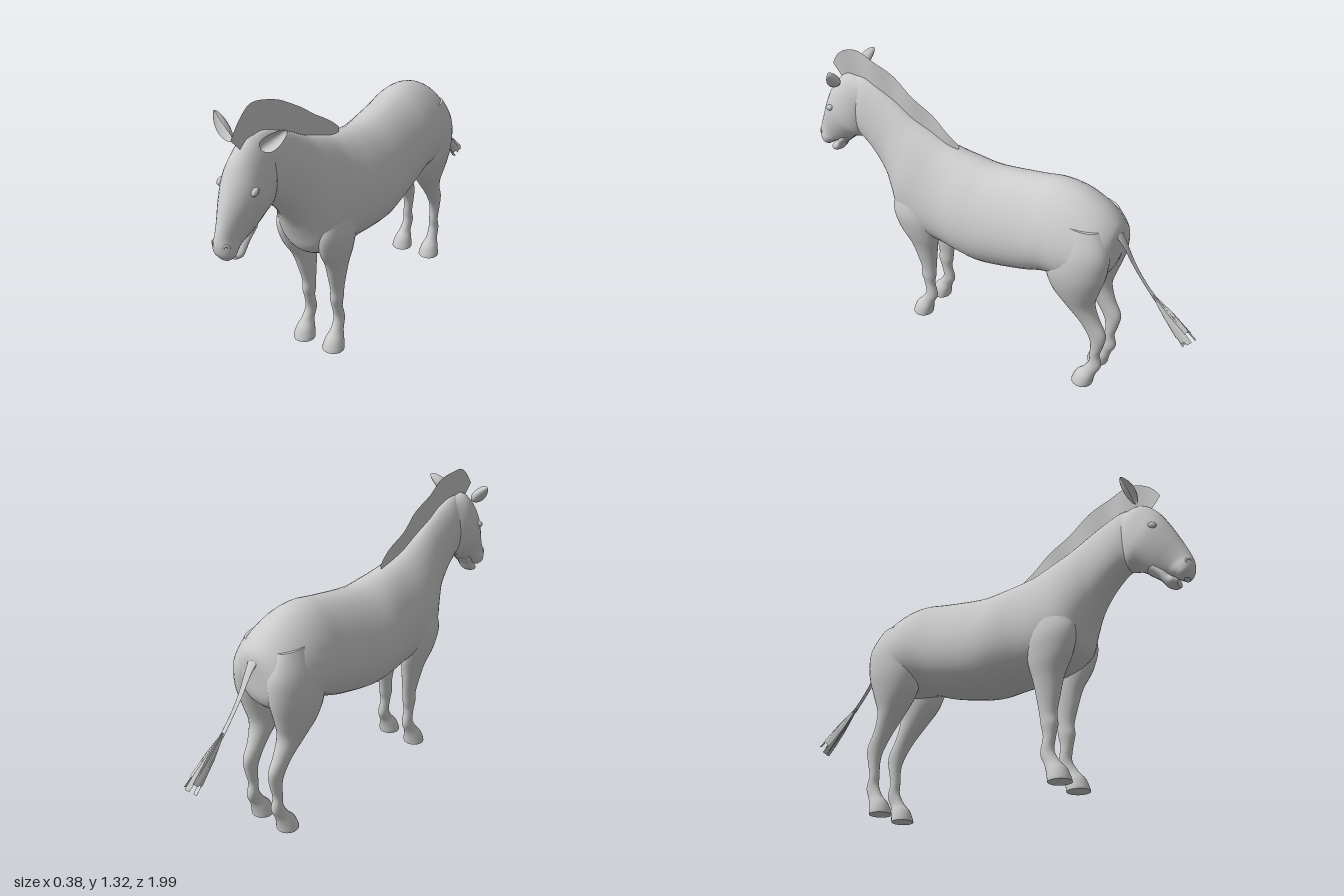
import * as THREE from 'three';

const skin = new THREE.MeshStandardMaterial({ color: 0xcccccc, roughness: 0.8 });
const sheet = new THREE.MeshStandardMaterial({ color: 0xcccccc, roughness: 0.8, side: THREE.DoubleSide });

// Smooth interpolation of numeric rows
function smoothRows(rows, steps) {
  const out = [];
  const at = (i) => rows[Math.max(0, Math.min(rows.length - 1, i))];
  for (let i = 0; i < rows.length - 1; i++) {
    for (let s = 0; s < steps; s++) {
      const t = s / steps;
      out.push(rows[i].map((p1, c) => {
        const p0 = at(i - 1)[c], p2 = at(i + 1)[c], p3 = at(i + 2)[c];
        return 0.5 * (2 * p1 + (p2 - p0) * t + (2 * p0 - 5 * p1 + 4 * p2 - p3) * t * t
          + (3 * p1 - p0 - 3 * p2 + p3) * t * t * t);
      }));
    }
  }
  out.push(rows[rows.length - 1]);
  return out;
}

// Loft through rows [z1, y1, z2, y2, halfWidth, xCentre]; egg narrows the first edge
function loft(rows, egg = 0, side = 1, n = 28) {
  const rings = smoothRows(rows, 4);
  const pos = [], idx = [];
  const addRing = ([z1, y1, z2, y2, w, xc = 0]) => {
    for (let j = 0; j < n; j++) {
      const t = (j / n) * Math.PI * 2, c = Math.cos(t);
      pos.push(side * xc + w * Math.sin(t) * (1 - egg * c),
        (y1 + y2) / 2 + ((y1 - y2) / 2) * c, (z1 + z2) / 2 + ((z1 - z2) / 2) * c);
    }
  };
  rings.forEach(addRing);
  for (let i = 0; i < rings.length - 1; i++) {
    for (let j = 0; j < n; j++) {
      const a = i * n + j, b = i * n + (j + 1) % n;
      idx.push(a, a + n, b, b, a + n, b + n);
    }
  }
  // End caps with their own vertices
  [rings[0], rings[rings.length - 1]].forEach((r, end) => {
    const base = pos.length / 3;
    addRing(r);
    pos.push(side * (r[5] || 0), (r[1] + r[3]) / 2, (r[0] + r[2]) / 2);
    for (let j = 0; j < n; j++) {
      const a = base + j, b = base + (j + 1) % n;
      if (end) idx.push(base + n, b, a); else idx.push(base + n, a, b);
    }
  });
  return buffer(pos, idx);
}

function buffer(pos, idx) {
  const g = new THREE.BufferGeometry();
  g.setAttribute('position', new THREE.Float32BufferAttribute(pos, 3));
  g.setIndex(idx);
  g.computeVertexNormals();
  return g;
}

// Thin sheet between two equally long lists of points
function ribbon(a, b) {
  const pos = [], idx = [];
  a.forEach((p, i) => {
    pos.push(...p, ...b[i]);
    if (i) idx.push(2 * i - 2, 2 * i - 1, 2 * i, 2 * i, 2 * i - 1, 2 * i + 1);
  });
  return buffer(pos, idx);
}

// Cupped, pointed ear standing along +y with its hollow towards +z
function earGeometry() {
  const g = new THREE.SphereGeometry(1, 24, 20);
  const p = g.attributes.position;
  for (let i = 0; i < p.count; i++) {
    const x = p.getX(i), y = p.getY(i), z = p.getZ(i);
    const hollow = z > 0 ? -0.7 * z : z;
    const taper = 1 - 0.25 * y;
    p.setXYZ(i, x * 0.029 * taper, y * 0.068, (hollow + 0.7 * x * x) * 0.022);
  }
  g.computeVertexNormals();
  return g;
}

export function createModel() {
  const model = new THREE.Group();
  const add = (name, geometry, material = skin) => {
    const m = new THREE.Mesh(geometry, material);
    m.name = name;
    model.add(m);
    return m;
  };

  // Trunk and neck, from rump to poll
  add('bodyAndNeck', loft([
    [-0.606, 0.85, -0.600, 0.75, 0.03],
    [-0.592, 0.89, -0.590, 0.66, 0.115],
    [-0.53, 0.95, -0.54, 0.60, 0.165],
    [-0.43, 1.00, -0.42, 0.57, 0.185],
    [-0.32, 1.015, -0.32, 0.565, 0.184],
    [-0.20, 0.995, -0.20, 0.52, 0.182],
    [0.00, 0.965, 0.00, 0.475, 0.188],
    [0.12, 0.972, 0.12, 0.478, 0.185],
    [0.20, 0.985, 0.24, 0.485, 0.168],
    [0.27, 1.00, 0.38, 0.495, 0.158],
    [0.36, 1.035, 0.485, 0.55, 0.147],
    [0.44, 1.07, 0.525, 0.64, 0.12],
    [0.53, 1.12, 0.56, 0.72, 0.093],
    [0.62, 1.165, 0.62, 0.81, 0.08],
    [0.70, 1.195, 0.70, 0.885, 0.072],
    [0.76, 1.195, 0.77, 0.90, 0.055],
  ], 0.2, 1, 40));

  // Head with upper lip, then lower jaw
  add('head', loft([
    [0.72, 1.19, 0.68, 1.03, 0.05],
    [0.80, 1.197, 0.685, 0.955, 0.076],
    [0.86, 1.15, 0.71, 0.90, 0.088],
    [0.90, 1.09, 0.76, 0.885, 0.09],
    [0.94, 1.01, 0.81, 0.85, 0.073],
    [0.97, 0.94, 0.85, 0.825, 0.054],
    [0.99, 0.89, 0.88, 0.815, 0.045],
    [1.00, 0.85, 0.91, 0.805, 0.048],
    [0.995, 0.81, 0.932, 0.79, 0.044],
    [0.975, 0.78, 0.95, 0.777, 0.022],
  ], 0.05, 1, 32));
  add('lowerJaw', loft([
    [0.86, 0.87, 0.80, 0.855, 0.05],
    [0.885, 0.835, 0.85, 0.81, 0.044],
    [0.90, 0.815, 0.873, 0.775, 0.04],
    [0.918, 0.80, 0.90, 0.757, 0.042],
    [0.932, 0.785, 0.925, 0.757, 0.028],
  ]));

  // Lower leg and hoof share one profile, placed at z offset
  const hoof = (z) => [
    [0.045, 0.14, -0.016, 0.13, 0.024, 0.077],
    [0.07, 0.09, 0.003, 0.08, 0.027, 0.08],
    [0.10, 0.055, 0.012, 0.045, 0.040, 0.08],
    [0.115, 0.02, 0.017, 0.015, 0.049, 0.08],
    [0.12, 0, 0.019, 0, 0.051, 0.08],
  ].map(([a, b, c, ...r]) => [a + z, b, c + z, ...r]);

  const ear = earGeometry();
  for (const [label, s] of [['left', 1], ['right', -1]]) {
    add(label + 'FrontLeg', loft([
      [0.44, 0.80, 0.28, 0.80, 0.035, 0.095],
      [0.495, 0.66, 0.26, 0.64, 0.063, 0.103],
      [0.475, 0.55, 0.265, 0.53, 0.058, 0.097],
      [0.425, 0.46, 0.28, 0.45, 0.046, 0.086],
      [0.40, 0.38, 0.29, 0.38, 0.036, 0.08],
      [0.38, 0.30, 0.30, 0.30, 0.027, 0.076],
      [0.382, 0.25, 0.305, 0.25, 0.027, 0.075],
      [0.37, 0.20, 0.313, 0.20, 0.022, 0.075],
      ...hoof(0.316),
    ], 0, s));
    add(label + 'HindLeg', loft([
      [-0.37, 0.90, -0.55, 0.89, 0.05, 0.09],
      [-0.33, 0.77, -0.602, 0.79, 0.085, 0.097],
      [-0.32, 0.65, -0.60, 0.67, 0.09, 0.1],
      [-0.35, 0.55, -0.572, 0.56, 0.075, 0.095],
      [-0.42, 0.46, -0.555, 0.48, 0.055, 0.086],
      [-0.49, 0.375, -0.58, 0.40, 0.037, 0.08],
      [-0.535, 0.30, -0.618, 0.325, 0.028, 0.078],
      [-0.55, 0.25, -0.61, 0.25, 0.024, 0.077],
      [-0.55, 0.19, -0.597, 0.19, 0.022, 0.077],
      ...hoof(-0.594),
    ], 0, s));

    const e = add(label + 'Ear', ear);
    e.position.set(s * 0.116, 1.218, 0.785);
    e.rotation.set(0, s * 0.25, -s * 0.85);

    const eye = add(label + 'Eye', new THREE.SphereGeometry(1, 16, 12));
    eye.scale.set(0.012, 0.014, 0.02);
    eye.position.set(s * 0.08, 1.035, 0.862);
    eye.rotation.x = 0.5;

    const nostril = add(label + 'Nostril', new THREE.TorusGeometry(0.011, 0.005, 8, 16));
    nostril.position.set(s * 0.03, 0.845, 0.984);
    nostril.rotation.set(0, s * 0.7, s * 0.4);
  }

  // Upright mane: a slightly wavy thin sheet; rows are [z, base y, crest z, crest y]
  const mane = smoothRows([
    [0.20, 0.975, 0.192, 1.005],
    [0.30, 1.00, 0.28, 1.075],
    [0.40, 1.04, 0.38, 1.14],
    [0.50, 1.09, 0.48, 1.21],
    [0.60, 1.14, 0.60, 1.28],
    [0.68, 1.17, 0.70, 1.315],
    [0.74, 1.18, 0.78, 1.318],
    [0.80, 1.175, 0.84, 1.285],
    [0.83, 1.165, 0.882, 1.225],
  ], 4);
  const wave = (z) => 0.006 * Math.sin(z * 32);
  add('mane', ribbon(mane.map((r) => [wave(r[0]) * 0.5, r[1], r[0]]),
    mane.map((r) => [wave(r[2]), r[3], r[2]])), sheet);

  // Tail dock, tapering away from the rump
  add('tail', loft([
    [-0.60, 0.83, -0.565, 0.90, 0.03],
    [-0.635, 0.785, -0.615, 0.835, 0.019],
    [-0.69, 0.70, -0.675, 0.725, 0.012],
    [-0.75, 0.622, -0.735, 0.642, 0.010],
    [-0.80, 0.565, -0.785, 0.585, 0.012],
  ].map(([a, b, c, d, w]) => [c, d, a, b, w]), 0, 1, 12), sheet);

  // Tuft of flat hair strips fanning from the end of the tail
  const tuft = new THREE.Group();
  tuft.name = 'tailTuft';
  const along = new THREE.Vector3(0, -0.70, -0.71), across = new THREE.Vector3(0, -0.71, 0.70);
  for (let i = 0; i < 9; i++) {
    const turn = (i / 9) * Math.PI * 2, len = 0.24 + 0.03 * Math.cos(i * 2.4);
    const out = across.clone().multiplyScalar(Math.cos(turn)).add(new THREE.Vector3(Math.sin(turn) * 0.75, 0, 0));
    const flat = across.clone().multiplyScalar(-Math.sin(turn)).add(new THREE.Vector3(Math.cos(turn) * 0.75, 0, 0));
    const edge = (s) => [[0, 0.004, 0.004], [0.5, 0.022, 0.014], [1, 0.034, 0.014]].map(([t, o, w]) =>
      new THREE.Vector3(0, 0.59, -0.78).addScaledVector(along, t * len)
        .addScaledVector(out, o).addScaledVector(flat, s * w).toArray());
    const strip = new THREE.Mesh(ribbon(edge(-1), edge(1)), sheet);
    strip.name = 'tuftStrip' + (i + 1);
    tuft.add(strip);
  }
  model.add(tuft);
  return model;
}
